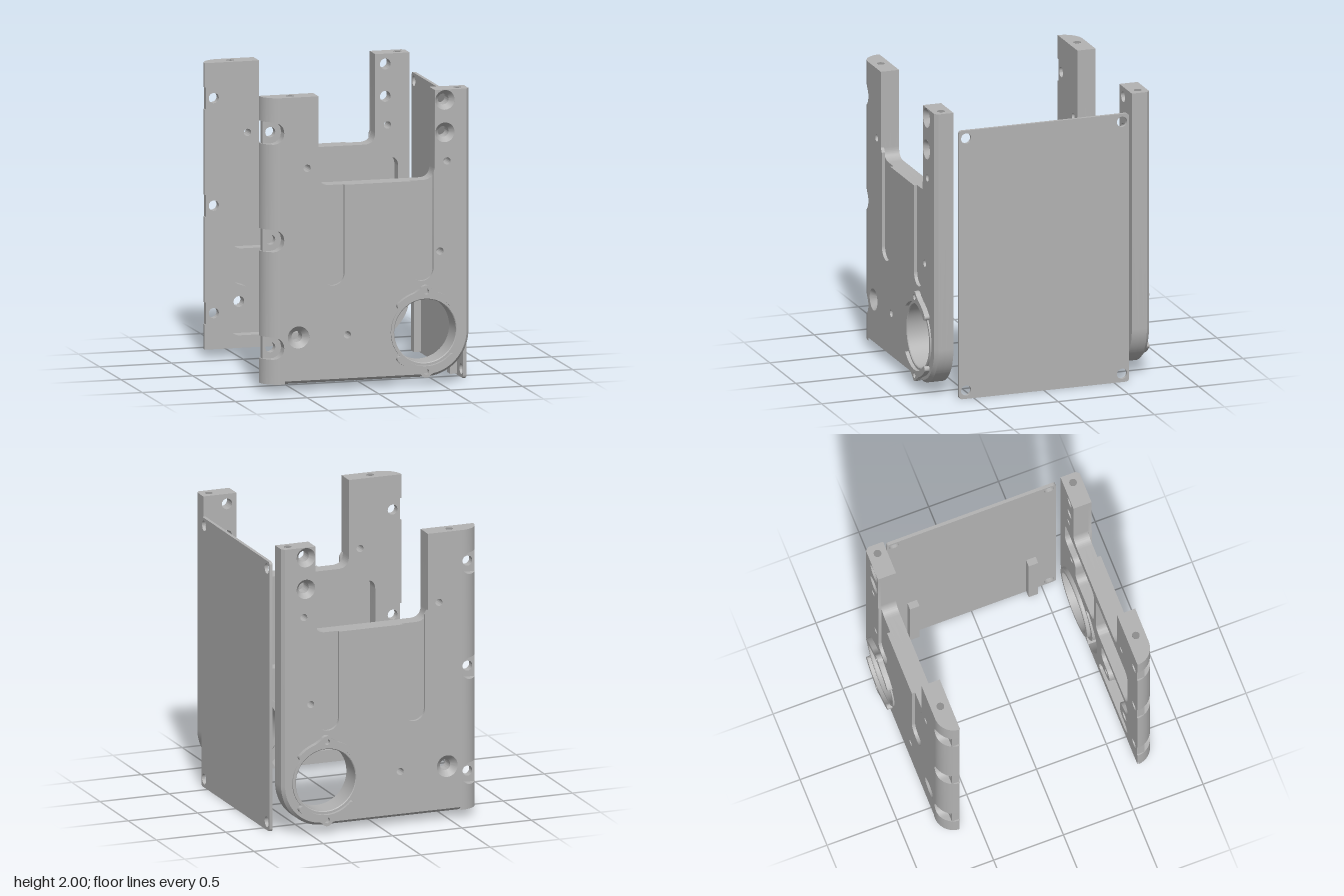
import * as THREE from 'three';
import { toCreasedNormals } from 'three/addons/utils/BufferGeometryUtils.js';

const BOTTOM = 0.055, TOP = 2, INNER = 0.635, OUTER = 0.765;
const SEAT = 0.69, FLOOR = 0.725, SLOT = 0.742;      // depths of the recesses
const RING = [0.39, 0.37];
const EDGE_HOLES = [0.3, 1.03, 1.76], EDGE_X = -0.665, EDGE_R = 0.076;
const SINKS = [[0.53, 1.93, 0.067], [0.53, 1.71, 0.067], [-0.49, 0.37, 0.075]];
const SMALL = [[-0.43, 1.515], [0.545, 1.515], [0.495, 0.905], [-0.15, 0.37]];

export function createModel() {
  const grey = new THREE.MeshStandardMaterial({ color: 0xb2b2b2 });
  grey.name = 'machined grey';
  const dark = new THREE.MeshStandardMaterial({ color: 0x8c8c8c });
  dark.name = 'dark grey';

  const add = (parent, name, geometry, material = grey) => {
    const mesh = new THREE.Mesh(toCreasedNormals(geometry, 0.5), material);
    mesh.name = name;
    parent.add(mesh);
    return mesh;
  };
  const extrude = (shape, z0, z1) => new THREE.ExtrudeGeometry(shape,
    { depth: z1 - z0, bevelEnabled: false, curveSegments: 24 }).translate(0, 0, z0);
  const circle = (x, y, r) => new THREE.Path().absarc(x, y, r, 0, Math.PI * 2, true);

  // Closed path with rounded corners
  const rounded = (pts, r, path = new THREE.Path()) => {
    const v = pts.map(p => new THREE.Vector2(...p)), n = v.length;
    v.forEach((p, i) => {
      const toward = q => {
        const d = q.clone().sub(p), len = d.length();
        return p.clone().addScaledVector(d, Math.min(r, len * 0.45) / len);
      };
      const a = toward(v[(i + n - 1) % n]), b = toward(v[(i + 1) % n]);
      if (i) path.lineTo(a.x, a.y); else path.moveTo(a.x, a.y);
      path.quadraticCurveTo(p.x, p.y, b.x, b.y);
    });
    path.closePath();
    return path;
  };

  // Side plate outline with the top notch, optionally cut by the two slots
  const outline = (x0, slots) => {
    const s = new THREE.Shape();
    s.moveTo(x0, BOTTOM);
    s.lineTo(0.4, BOTTOM);
    s.absarc(0.4, BOTTOM + 0.3, 0.3, -Math.PI / 2, 0, false);
    s.lineTo(0.7, TOP);
    s.lineTo(0.46, TOP);
    s.lineTo(0.46, 1.47);
    if (slots) {
      s.lineTo(0.45, 1.44);
      s.absarc(0.37, 0.79, 0.08, 0, -Math.PI, true);
      s.lineTo(0.29, 1.39);
      s.lineTo(-0.17, 1.39);
      s.absarc(-0.25, 0.79, 0.08, 0, -Math.PI, true);
      s.lineTo(-0.33, 1.44);
    } else {
      s.quadraticCurveTo(0.46, 1.39, 0.38, 1.39);
      s.lineTo(-0.27, 1.39);
      s.quadraticCurveTo(-0.35, 1.39, -0.35, 1.47);
    }
    s.lineTo(-0.35, 1.47);
    s.lineTo(-0.35, TOP);
    s.lineTo(x0, TOP);
    s.closePath();
    return s;
  };

  // Weight-saving pockets on the inner face
  const pockets = () => {
    const groove = new THREE.Path();
    const a = Math.PI * 0.69, b = Math.PI * 1.31;
    groove.absarc(...RING, 0.37, a, b, false);
    groove.absarc(...RING, 0.28, b, a, true);
    groove.closePath();
    return [
      rounded([[-0.54, 0.73], [0.04, 0.73], [0.04, 1.29], [-0.54, 1.29]], 0.07),
      rounded([[0.08, 0.75], [0.42, 0.75], [0.42, 1], [0.62, 1], [0.62, 1.3], [0.08, 1.3]], 0.07),
      rounded([[-0.06, 0.66], [-0.54, 0.66], [-0.54, 0.5], [-0.4, 0.46], [-0.4, 0.28],
        [-0.54, 0.24], [-0.54, 0.14], [0, 0.14], [-0.05, 0.29], [-0.21, 0.31],
        [-0.21, 0.43], [-0.06, 0.45]], 0.06),
      groove,
    ];
  };

  const layer = (x0, z0, z1, { slots = false, pocketed = false, sunk = false }) => {
    const s = outline(x0, slots);
    s.holes.push(circle(...RING, 0.235));
    SMALL.forEach(([x, y]) => s.holes.push(circle(x, y, 0.025)));
    SINKS.forEach(([x, y, r]) => s.holes.push(circle(x, y, sunk ? r : 0.037)));
    if (pocketed) s.holes.push(...pockets());
    if (x0 < -0.6) EDGE_HOLES.forEach(y => s.holes.push(circle(EDGE_X, y, 0.035)));
    return extrude(s, z0, z1);
  };

  // Chamfer the outer rim along the bottom, corner and straight side
  const chamfer = (geo, c) => {
    const p = geo.attributes.position;
    for (let i = 0; i < p.count; i++) {
      const x = p.getX(i), y = p.getY(i);
      if (p.getZ(i) < OUTER - 0.001) continue;
      const dx = Math.max(0, x - 0.4), dy = Math.min(0, y - BOTTOM - 0.3);
      const d = Math.hypot(dx, dy);
      if (d > 0.298) p.setXY(i, x - dx / d * c, y - dy / d * c);
    }
    return geo;
  };

  // Rounded long edge between two seats: four rails swept along x
  const edgeBand = (yLo, yHi, cutLo, cutHi) => {
    const pos = [], idx = [], cols = [];
    for (let i = 0; i <= 18; i++) {
      const t = 0.04 + (Math.PI / 2 - 0.04) * i / 18;
      cols.push([-0.6 - 0.13 * Math.cos(t), INNER + 0.13 * Math.sin(t)]);
    }
    cols.push([-0.594, OUTER], [-0.589, OUTER], [-0.585, OUTER]);
    cols.forEach(([x, z], i) => {
      const dx = Math.max(0, x - EDGE_X);
      const h = Math.sqrt(Math.max(0, EDGE_R ** 2 - dx * dx));
      const lo = yLo + (cutLo ? h : 0), hi = yHi - (cutHi ? h : 0);
      pos.push(x, lo, z, x, hi, z, x, hi, INNER, x, lo, INNER);
      if (!i) return;
      for (let k = 0; k < 4; k++) {
        const p0 = (i - 1) * 4 + k, q0 = (i - 1) * 4 + (k + 1) % 4;
        idx.push(p0, p0 + 4, q0 + 4, p0, q0 + 4, q0);
      }
    });
    const g = new THREE.BufferGeometry();
    g.setAttribute('position', new THREE.Float32BufferAttribute(pos, 3));
    g.setIndex(idx);
    return g;
  };

  // Crescent clip with a screw lug
  const clipShape = () => {
    const s = new THREE.Shape();
    const a = Math.PI / 4, b = Math.PI * 0.4;
    s.absarc(0, 0, 0.235, Math.PI - a, a, true);
    s.absarc(0.255 * Math.cos(a), 0.255 * Math.sin(a), 0.02, a - Math.PI, a, false);
    s.absarc(0, 0, 0.275, a, b, false);
    s.absarc(0, 0.275, 0.038, 0.5, Math.PI - 0.5, false);
    s.absarc(0, 0, 0.275, Math.PI - b, Math.PI - a, false);
    s.absarc(-0.255 * Math.cos(a), 0.255 * Math.sin(a), 0.02, Math.PI - a, 2 * Math.PI - a, false);
    s.holes.push(circle(0, 0.272, 0.02));
    return s;
  };

  const buildSide = name => {
    const side = new THREE.Group();
    side.name = name;
    add(side, 'innerFrame', layer(-0.718, INNER, SEAT, { pocketed: true }));
    add(side, 'pocketFrame', layer(-0.585, SEAT, FLOOR, { pocketed: true }));
    add(side, 'plateWeb', layer(-0.585, FLOOR, SLOT, { sunk: true }));
    add(side, 'outerSkin', chamfer(layer(-0.585, SLOT, OUTER, { slots: true, sunk: true }), 0.02));

    // Rounded edge broken by the screw seats
    const stops = [BOTTOM, ...EDGE_HOLES, TOP];
    for (let i = 0; i < 4; i++)
      add(side, 'roundedEdge', edgeBand(stops[i], stops[i + 1], i > 0, i < 3));

    // Countersinks, facing inward
    SINKS.forEach(([x, y, r]) => add(side, 'countersink', new THREE.LatheGeometry(
      [new THREE.Vector2(r, OUTER), new THREE.Vector2(0.037, FLOOR)], 32)
      .rotateX(Math.PI / 2).translate(x, y, 0)));

    // Bearing sleeve with inner flange
    const profile = [[0.215, 0.61], [0.245, 0.61], [0.25, 0.615], [0.25, INNER], [0.238, INNER],
      [0.238, 0.775], [0.22, 0.775], [0.215, 0.77], [0.215, 0.61]];
    add(side, 'bearingSleeve', new THREE.LatheGeometry(
      profile.map(p => new THREE.Vector2(...p)), 56)
      .rotateX(Math.PI / 2).translate(...RING, 0)).material = sleeveMat;
    for (const turn of [0, Math.PI])
      add(side, 'bearingClip', extrude(clipShape(), OUTER, 0.8).rotateZ(turn).translate(...RING, 0));

    // Screw holes on the arm tops
    for (const x of [-0.53, 0.635])
      add(side, 'topScrewHole', new THREE.CylinderGeometry(0.026, 0.026, 0.004, 24)
        .translate(x, TOP - 0.001, 0.7), dark);
    return side;
  };
  const sleeveMat = grey.clone();
  sleeveMat.name = 'sleeve grey';
  sleeveMat.side = THREE.DoubleSide;

  const model = new THREE.Group();
  model.name = 'bracketAssembly';
  const front = buildSide('frontPlate');
  const rear = buildSide('rearPlate');
  rear.scale.z = -1;
  model.add(front, rear);
  model.traverse(o => { if (o.name === 'countersink') o.material = sleeveMat; });

  // Cover panel on the +x side with corner holes
  const panel = rounded([[-0.605, 0.002], [0.605, 0.002], [0.605, 1.875], [-0.605, 1.875]],
    0.025, new THREE.Shape());
  for (const z of [-0.555, 0.555])
    for (const y of [0.06, 1.82]) panel.holes.push(circle(z, y, 0.036));
  add(model, 'coverPanel', extrude(panel, 0.705, 0.727).rotateY(Math.PI / 2));

  // Low ribs behind the panel
  for (const z of [-0.425, 0.425])
    add(model, 'panelRib', new THREE.BoxGeometry(0.05, 0.6, 0.068).translate(0.682, 0.31, z));
  return model;
}
